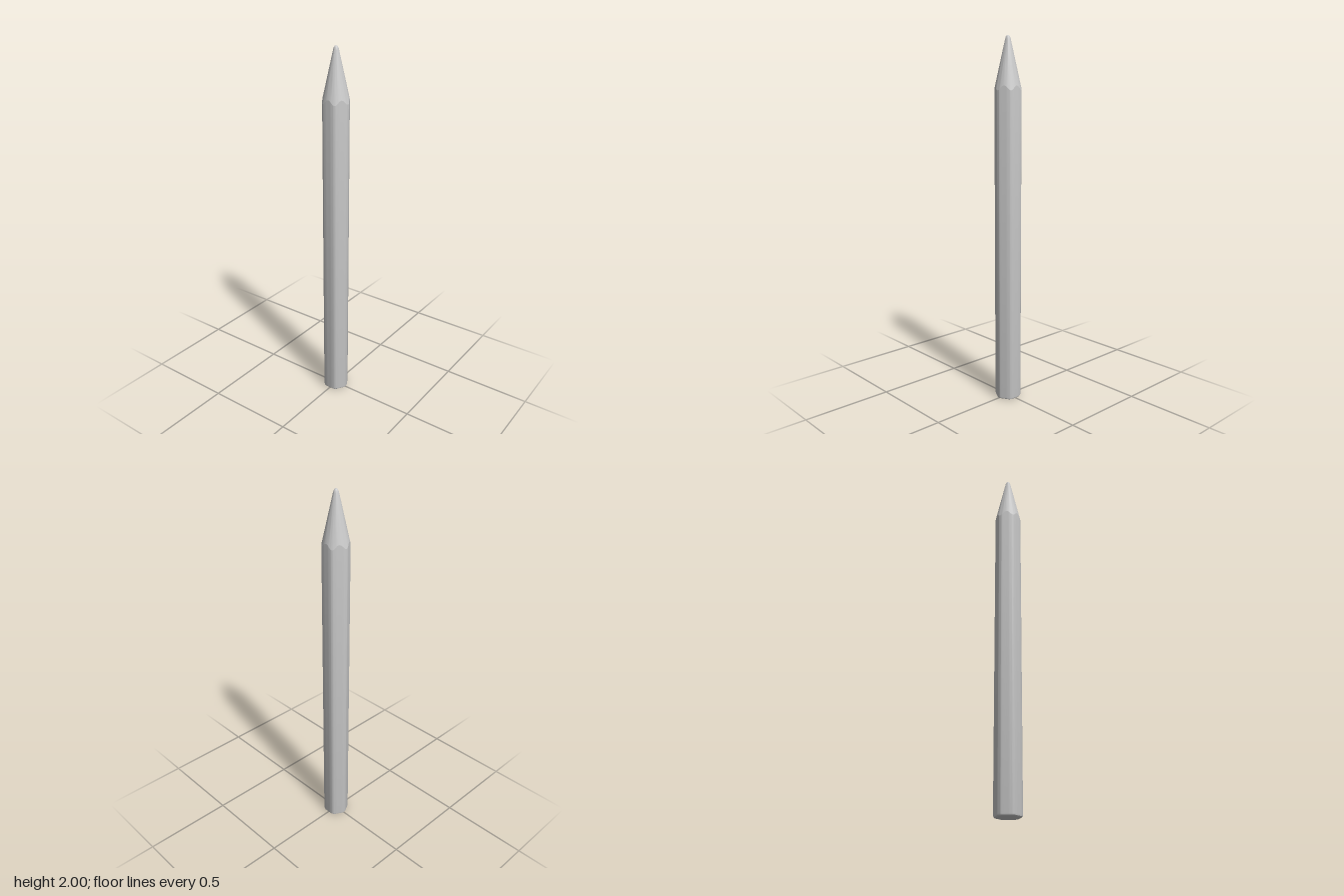
import * as THREE from 'three';
import { toCreasedNormals } from 'three/addons/utils/BufferGeometryUtils.js';

const APOTHEM = 0.068, CORNER = 0.032; // hexagon flats and corner rounding
const STEPS = 8;

// Rounded hexagon outline with corners on +x and -x
function outline() {
  const points = [];
  const centre = (APOTHEM - CORNER) / Math.cos(Math.PI / 6);
  for (let k = 0; k < 6; k++) {
    const a = k * Math.PI / 3;
    for (let s = 0; s <= STEPS; s++) {
      const b = a + (s / STEPS - 0.5) * Math.PI / 3;
      points.push([centre * Math.cos(a) + CORNER * Math.cos(b), centre * Math.sin(a) + CORNER * Math.sin(b)]);
    }
    // Subdivide each flat so the sharpened edge curves across it
    const next = a + Math.PI / 3, mid = a + Math.PI / 6;
    const p = points[points.length - 1];
    const q = [centre * Math.cos(next) + CORNER * Math.cos(mid), centre * Math.sin(next) + CORNER * Math.sin(mid)];
    for (let s = 1; s < 4; s++) points.push([p[0] + (q[0] - p[0]) * s / 4, p[1] + (q[1] - p[1]) * s / 4]);
  }
  return points;
}

// Skin rings of points, listed from bottom to top
function loft(rings) {
  const pos = [];
  const tri = (a, b, c) => {
    const area = b.clone().sub(a).cross(c.clone().sub(a)).length();
    if (area > 1e-10) for (const v of [a, b, c]) pos.push(v.x, v.y, v.z);
  };
  for (let i = 0; i + 1 < rings.length; i++) {
    const low = rings[i], high = rings[i + 1], n = low.length;
    for (let j = 0; j < n; j++) {
      const k = (j + 1) % n;
      tri(low[j], high[j], high[k]);
      tri(low[j], high[k], low[k]);
    }
  }
  const geometry = new THREE.BufferGeometry();
  geometry.setAttribute('position', new THREE.Float32BufferAttribute(pos, 3));
  return toCreasedNormals(geometry, 0.5);
}

export function createModel() {
  const group = new THREE.Group();
  const material = new THREE.MeshStandardMaterial({ color: 0xcccccc });
  const hex = outline();
  const add = (name, rings) => {
    const mesh = new THREE.Mesh(loft(rings), material);
    mesh.name = name;
    group.add(mesh);
  };

  // Cone height at a given distance from the axis
  const coneY = (r) => 2.045 - 4.45 * r;
  const ring = (scale, y) => hex.map(([x, z]) => new THREE.Vector3(x * scale, y, z * scale));
  const shoulder = hex.map(([x, z]) => new THREE.Vector3(x, coneY(Math.hypot(x, z)), z));

  // Hexagonal shaft with a small bevel round the flat end
  add('shaft', [ring(0, 0), ring(0.91, 0), ring(0.97, 0.004), ring(1, 0.012), shoulder]);

  // Sharpened cone ending in a small rounded point
  const circle = (r, y) => hex.map(([x, z]) => {
    const f = r / Math.hypot(x, z);
    return new THREE.Vector3(x * f, y, z * f);
  });
  const tip = [shoulder, circle(0.045, coneY(0.045)), circle(0.015, coneY(0.015))];
  for (const [r, y] of [[0.012, 1.989], [0.008, 1.996], [0.004, 1.999], [0, 2]]) tip.push(circle(r, y));
  add('sharpenedTip', tip);
  return group;
}
